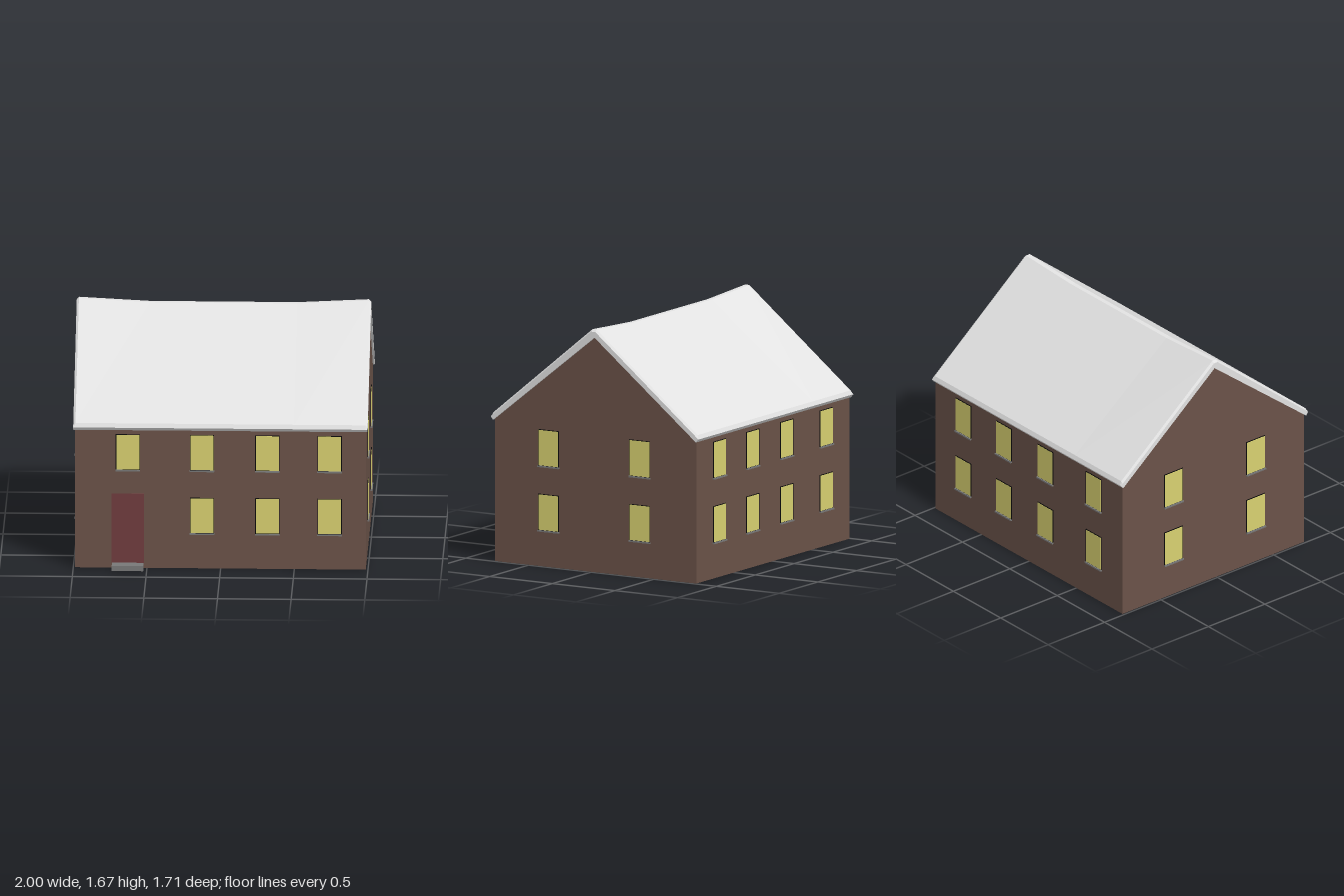
import * as THREE from 'three';

const mat = (name, color, side = THREE.FrontSide) => {
  const m = new THREE.MeshStandardMaterial({ color, side });
  m.name = name;
  return m;
};
const brick = mat('brown wall', 0x6a5248, THREE.DoubleSide);
const roofGrey = mat('pale roof', 0xe2e2e2);
const glassYellow = mat('lit window', 0xd8d070);
const black = mat('black frame', 0x0a0a0a);
const stone = mat('grey stone', 0x787878);
const doorRed = mat('dark red door', 0x703c3e);

// House extents
const X0 = -0.987, X1 = 0.985, ZF = 0.777, ZB = -0.83, EAVE = 0.99, APEX = 1.635, RIDGE_Z = -0.025;

function add(parent, name, geometry, material, x = 0, y = 0, z = 0) {
  const mesh = new THREE.Mesh(geometry, material);
  mesh.name = name;
  mesh.position.set(x, y, z);
  parent.add(mesh);
  return mesh;
}
const box = (w, h, d) => new THREE.BoxGeometry(w, h, d);

// Window facing +z, centred on its pane: four frame bars, pane and sill
function makeWindow() {
  const g = new THREE.Group();
  g.name = 'window';
  const w = 0.164, h = 0.252, t = 0.014;
  for (const s of [-1, 1]) {
    add(g, 'frameSide', box(t, h, 0.014), black, s * (w - t) / 2, 0, -0.002);
    add(g, 'frameRail', box(w - 2 * t, t, 0.014), black, 0, s * (h - t) / 2, -0.002);
  }
  add(g, 'pane', box(w - 0.008, h - 0.008, 0.005), glassYellow, 0, 0, 0.0035);
  add(g, 'sill', box(w + 0.004, 0.01, 0.024), stone, 0, -h / 2 - 0.003, 0.002);
  return g;
}

// Roof cross-section as [z, y]: over the outside from front to back, then the underside ridge
function roofProfile(drop, trim) {
  return [
    [0.785, 0.975], [0.803, 0.997], [0.79, 1.025 - trim],
    [0.0, 1.674 - drop - trim], [-0.032, 1.674 - drop - trim],
    [-0.84, 1.025 - trim], [-0.853, 0.997], [-0.835, 0.975],
    [RIDGE_Z, 1.62 - drop],
  ];
}

// Roof lofted along x, with a sagging ridge and bevelled ends
function roofGeometry() {
  const stations = [[-1, 0, 0.015], [-0.985, 0, 0], [-0.5, 0.025, 0], [0.5, 0.025, 0], [0.983, 0, 0], [0.998, 0, 0.015]];
  const rings = stations.map(([x, drop, trim]) => roofProfile(drop, trim).map(([z, y]) => [x, y, z]));
  const n = rings[0].length, pos = [];
  const tri = (a, b, c) => pos.push(...a, ...b, ...c);
  for (let i = 0; i < rings.length - 1; i++) {
    for (let j = 0; j < n; j++) {
      const k = (j + 1) % n, p = rings[i], q = rings[i + 1];
      tri(p[j], q[j], q[k]);
      tri(p[j], q[k], p[k]);
    }
  }
  const first = rings[0], last = rings[rings.length - 1];
  for (let j = 0; j < n - 2; j++) {
    tri(first[n - 1], first[j], first[j + 1]);
    tri(last[n - 1], last[j + 1], last[j]);
  }
  const geo = new THREE.BufferGeometry();
  geo.setAttribute('position', new THREE.Float32BufferAttribute(pos, 3));
  geo.computeVertexNormals();
  return geo;
}

export function createModel() {
  const house = new THREE.Group();
  house.name = 'house';

  // Open-bottomed shell of thin walls
  const midX = (X0 + X1) / 2;
  add(house, 'frontWall', new THREE.PlaneGeometry(X1 - X0, EAVE), brick, midX, EAVE / 2, ZF);
  add(house, 'backWall', new THREE.PlaneGeometry(X1 - X0, EAVE), brick, midX, EAVE / 2, ZB).rotation.y = Math.PI;
  const gable = (sign) => new THREE.ShapeGeometry(new THREE.Shape(
    [[ZF, 0], [ZB, 0], [ZB, EAVE], [RIDGE_Z, APEX], [ZF, EAVE]].map(([z, y]) => new THREE.Vector2(-sign * z, y))));
  add(house, 'leftGable', gable(1), brick, X1).rotation.y = Math.PI / 2;
  add(house, 'rightGable', gable(-1), brick, X0).rotation.y = -Math.PI / 2;

  add(house, 'roof', roofGeometry(), roofGrey);

  // Door and doorstep
  add(house, 'door', box(0.22, 0.488, 0.006), doorRed, -0.63, 0.281, ZF + 0.003);
  add(house, 'doorstep', box(0.214, 0.037, 0.085), stone, -0.63, 0.0185, ZF + 0.0405);

  // Two rows of windows on every wall, none above the doorstep on the ground floor
  const place = (x, y, z, turn) => {
    const w = makeWindow();
    w.position.set(x, y, z);
    w.rotation.y = turn;
    house.add(w);
  };
  for (const y of [0.373, 0.818]) {
    for (const x of [-0.63, -0.127, 0.317, 0.74]) {
      if (x > -0.5 || y > 0.5) place(x, y, ZF, 0);
    }
    for (const x of [0.69, 0.262, -0.175, -0.685]) place(x, y, ZB, Math.PI);
    for (const z of [0.347, -0.38]) {
      place(X1, y, z, Math.PI / 2);
      place(X0, y, z, -Math.PI / 2);
    }
  }
  return house;
}
